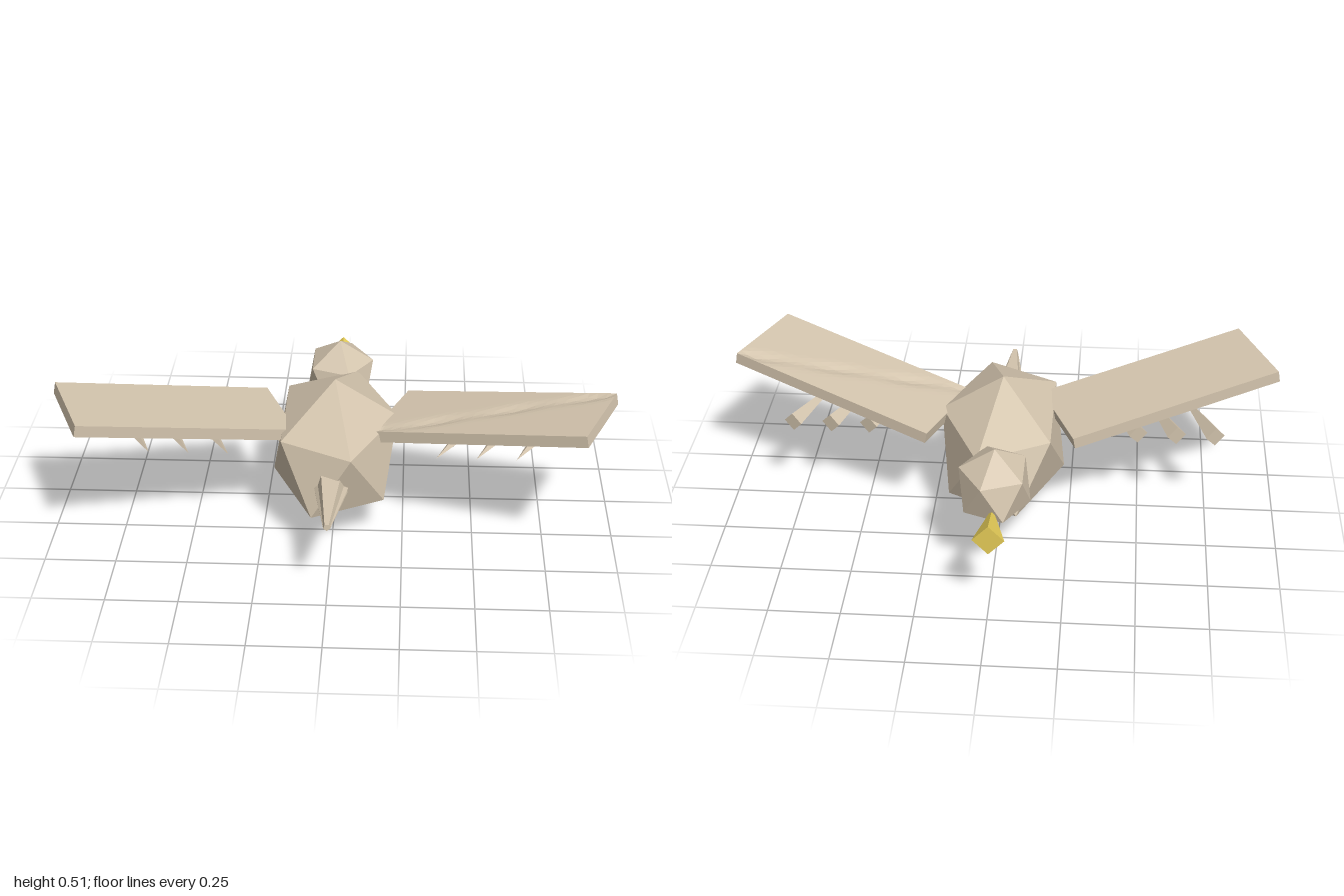
import * as THREE from 'three';

const mat = (color) => new THREE.MeshStandardMaterial({ color, flatShading: true, roughness: 0.9 });

export function createModel() {
  const model = new THREE.Group();
  const plumage = mat(0xd4c5ae);
  const yellow = mat(0xe6cd58);

  const add = (name, geometry, material, parent = model) => {
    const mesh = new THREE.Mesh(geometry, material);
    mesh.name = name;
    parent.add(mesh);
    return mesh;
  };

  // Icosahedron standing on a corner, stretched along z
  const gem = (name, radius, y, z, stretch) => {
    const g = new THREE.IcosahedronGeometry(radius, 0);
    g.rotateX(-Math.atan2((1 + Math.sqrt(5)) / 2, 1));
    g.rotateY(Math.PI / 2);
    g.scale(1, 1, stretch);
    add(name, g, plumage).position.set(0, y, z);
  };

  // Faceted spike from its wide end to its tip
  const spike = (name, from, to, wide, tip, sides, material) => {
    const a = new THREE.Vector3(...from);
    const b = new THREE.Vector3(...to);
    const g = new THREE.CylinderGeometry(tip, wide, a.distanceTo(b), sides);
    g.rotateX(Math.PI / 2);
    const mesh = add(name, g, material);
    mesh.position.copy(a).add(b).multiplyScalar(0.5);
    mesh.lookAt(b);
    return mesh;
  };

  gem('body', 0.252, 0.26, 0.045, 1.7);
  gem('head', 0.14, 0.325, -0.39, 1.25);

  // Beak flares outward
  spike('beak', [0, 0.29, -0.69], [0, 0.29, -0.49], 0.055, 0, 4, yellow);

  // Tail of overlapping narrow feathers
  spike('tailFeather', [0, 0.25, 0.36], [0, 0.275, 0.69], 0.062, 0.012, 5, plumage);
  for (const s of [-1, 1]) {
    spike('sideTailFeather', [s * 0.02, 0.25, 0.36], [s * 0.008, 0.272, 0.675], 0.042, 0.006, 4, plumage);
  }

  for (const s of [1, -1]) {
    const side = s > 0 ? 'left' : 'right';

    // Slab wing, swept back and raised toward the tip
    const g = new THREE.BoxGeometry(0.8, 0.042, 0.36, s > 0 ? 24 : 1, 1, s > 0 ? 14 : 1);
    if (s > 0) {
      // Shallow uneven crease along the diagonal of the left wing's upper face
      const p = g.attributes.position;
      for (let i = 0; i < p.count; i++) {
        const x = p.getX(i);
        const z = p.getZ(i);
        if (p.getY(i) < 0 || Math.abs(x) > 0.39 || Math.abs(z) > 0.17) continue;
        const d = (z + 0.45 * x) / 0.03;
        p.setY(i, p.getY(i) - (0.008 + 0.003 * Math.sin(x * 25)) * Math.exp(-d * d));
      }
      g.computeVertexNormals();
    }
    const wing = add(side + 'Wing', g, plumage);
    wing.position.set(s * 0.567, 0.428, 0.16);
    wing.rotation.set(0, -s * 0.372, s * 0.183);

    // Three loose feathers below each wing
    for (let i = 0; i < 3; i++) {
      const x = 0.495 + i * 0.14;
      spike(side + 'WingFeather', [s * x, 0.315, 0], [s * (x - 0.13), 0.335, 0.3], 0.036, 0, 4, plumage);
    }
  }

  return model;
}
